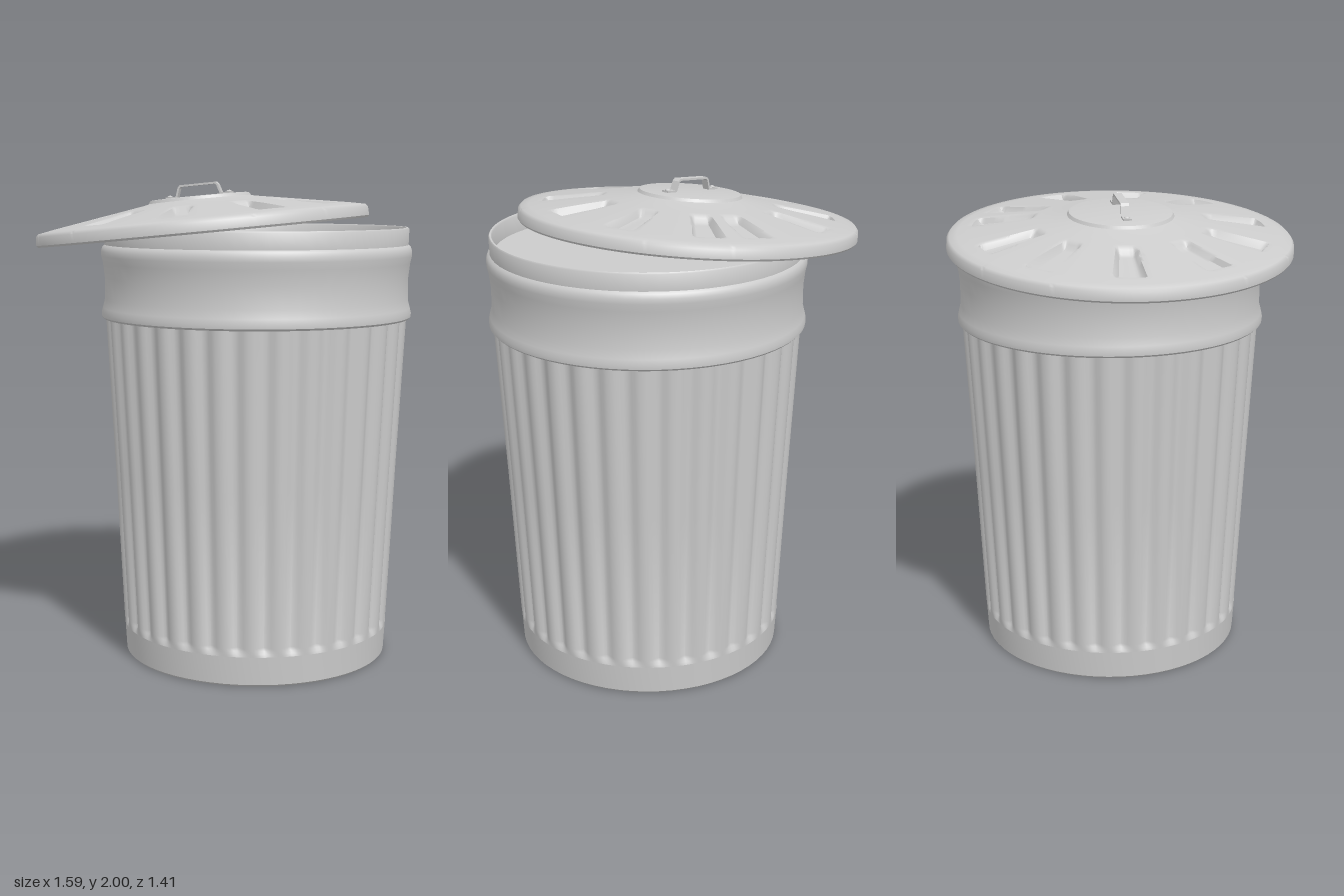
import * as THREE from 'three';
import { toCreasedNormals } from 'three/addons/utils/BufferGeometryUtils.js';

const material = new THREE.MeshStandardMaterial({ color: 0xcccccc, side: THREE.DoubleSide });
const FLUTES = 32;
const smooth = THREE.MathUtils.smoothstep;

function addMesh(parent, name, geometry) {
  const mesh = new THREE.Mesh(geometry, material);
  mesh.name = name;
  parent.add(mesh);
  return mesh;
}

// Lathe a profile of [radius, y], then optionally move each vertex by a rule
function turned(profile, segments, rule) {
  const geometry = new THREE.LatheGeometry(profile.map(([r, y]) => new THREE.Vector2(r, y)), segments);
  const position = geometry.attributes.position;
  const v = new THREE.Vector3();
  if (rule) {
    for (let i = 0; i < position.count; i++) {
      v.fromBufferAttribute(position, i);
      rule(v);
      position.setXYZ(i, v.x, v.y, v.z);
    }
  }
  return toCreasedNormals(geometry, 0.7);
}

// Vertical grooves pressed into the tapered wall
function flute(v) {
  const fade = smooth(v.y, 0.125, 0.16);
  const wave = 0.5 - 0.5 * Math.cos(FLUTES * Math.atan2(v.x, v.z));
  const scale = 1 - 0.036 * fade * wave ** 1.5;
  v.x *= scale;
  v.z *= scale;
}

// Directions, in degrees, of the radial slots pressed into the lid
const slotAngles = [-108, -71, -52, -19, 15, 48, 86, 120, 152, -173, -139];

function pressSlots(v) {
  const r = Math.hypot(v.x, v.z);
  if (r < 0.34 || r > 0.63) return;
  const angle = Math.atan2(v.z, v.x);
  for (const degrees of slotAngles) {
    const d = angle - THREE.MathUtils.degToRad(degrees);
    const along = r * Math.cos(d), across = Math.abs(r * Math.sin(d));
    if (along < 0) continue;
    const halfWidth = THREE.MathUtils.mapLinear(along, 0.36, 0.6, 0.036, 0.056);
    const ends = smooth(along, 0.35, 0.385) * (1 - smooth(along, 0.585, 0.61));
    const sides = 1 - smooth(across, halfWidth - 0.012, halfWidth + 0.008);
    v.y -= 0.03 * ends * sides;
  }
}

function createLid() {
  const lid = new THREE.Group();
  lid.name = 'lid';

  // Turned-down lip, sloping dome with fine rings for the slots, raised hub
  const profile = [[0.69, -0.05], [0.698, -0.053], [0.704, -0.045], [0.702, -0.01], [0.692, 0.002], [0.66, 0.008]];
  const rings = 26;
  for (let i = 0; i <= rings; i++) {
    const r = 0.63 - (0.3 * i) / rings;
    profile.push([r, THREE.MathUtils.mapLinear(r, 0.63, 0.23, 0.014, 0.08)]);
  }
  profile.push([0.23, 0.08], [0.217, 0.084], [0.21, 0.096], [0.2, 0.098], [0, 0.1]);
  addMesh(lid, 'lidPanel', turned(profile, 320, pressSlots));

  // Bent strap handle
  const top = [[-0.145, 0.106], [-0.1, 0.106], [-0.088, 0.142], [-0.078, 0.152], [0.078, 0.152], [0.088, 0.142], [0.1, 0.106], [0.145, 0.106]];
  const under = [[0.145, 0.098], [0.094, 0.098], [0.081, 0.138], [0.074, 0.144], [-0.074, 0.144], [-0.081, 0.138], [-0.094, 0.098], [-0.145, 0.098]];
  const shape = new THREE.Shape([...top, ...under].map(([x, y]) => new THREE.Vector2(x, y)));
  const strap = new THREE.ExtrudeGeometry(shape, { depth: 0.034, bevelEnabled: false });
  strap.translate(0, 0, -0.017);
  addMesh(lid, 'handle', strap);

  // Rivets holding the handle feet
  for (const side of [-1, 1]) {
    const rivet = addMesh(lid, 'handleRivet', new THREE.SphereGeometry(0.012, 12, 8));
    rivet.scale.y = 0.5;
    rivet.position.set(side * 0.13, 0.107, 0);
  }

  // Pushed aside and resting at a tilt
  lid.position.set(-0.097, 1.845, 0);
  lid.rotation.z = 0.096;
  return lid;
}

export function createModel() {
  const model = new THREE.Group();
  model.name = 'trashCan';

  const can = new THREE.Group();
  can.name = 'can';
  can.position.x = 0.14;
  model.add(can);

  // Floor and smooth foot
  addMesh(can, 'base', turned([[0, 0], [0.552, 0], [0.56, 0.008], [0.567, 0.125]], 64));

  // Fluted wall
  const wall = [[0.567, 0.125], [0.568, 0.137], [0.569, 0.148], [0.57, 0.16], [0.6, 0.8], [0.634, 1.45]];
  addMesh(can, 'flutedWall', turned(wall, FLUTES * 8, flute));

  // Smooth collar between two rolled beads
  addMesh(can, 'collar', turned([
    [0.6, 1.44], [0.642, 1.44], [0.65, 1.448], [0.651, 1.465], [0.646, 1.485], [0.637, 1.52],
    [0.637, 1.61], [0.644, 1.67], [0.651, 1.7], [0.651, 1.72], [0.645, 1.737], [0.636, 1.745],
  ], 64));

  // Upright rim and the recessed inner cover below it
  addMesh(can, 'rim', turned([
    [0.636, 1.745], [0.638, 1.81], [0.634, 1.816], [0.627, 1.816], [0.623, 1.81], [0.622, 1.74],
  ], 64));
  addMesh(can, 'innerCover', turned([[0.622, 1.74], [0, 1.74]], 64));

  model.add(createLid());
  return model;
}
